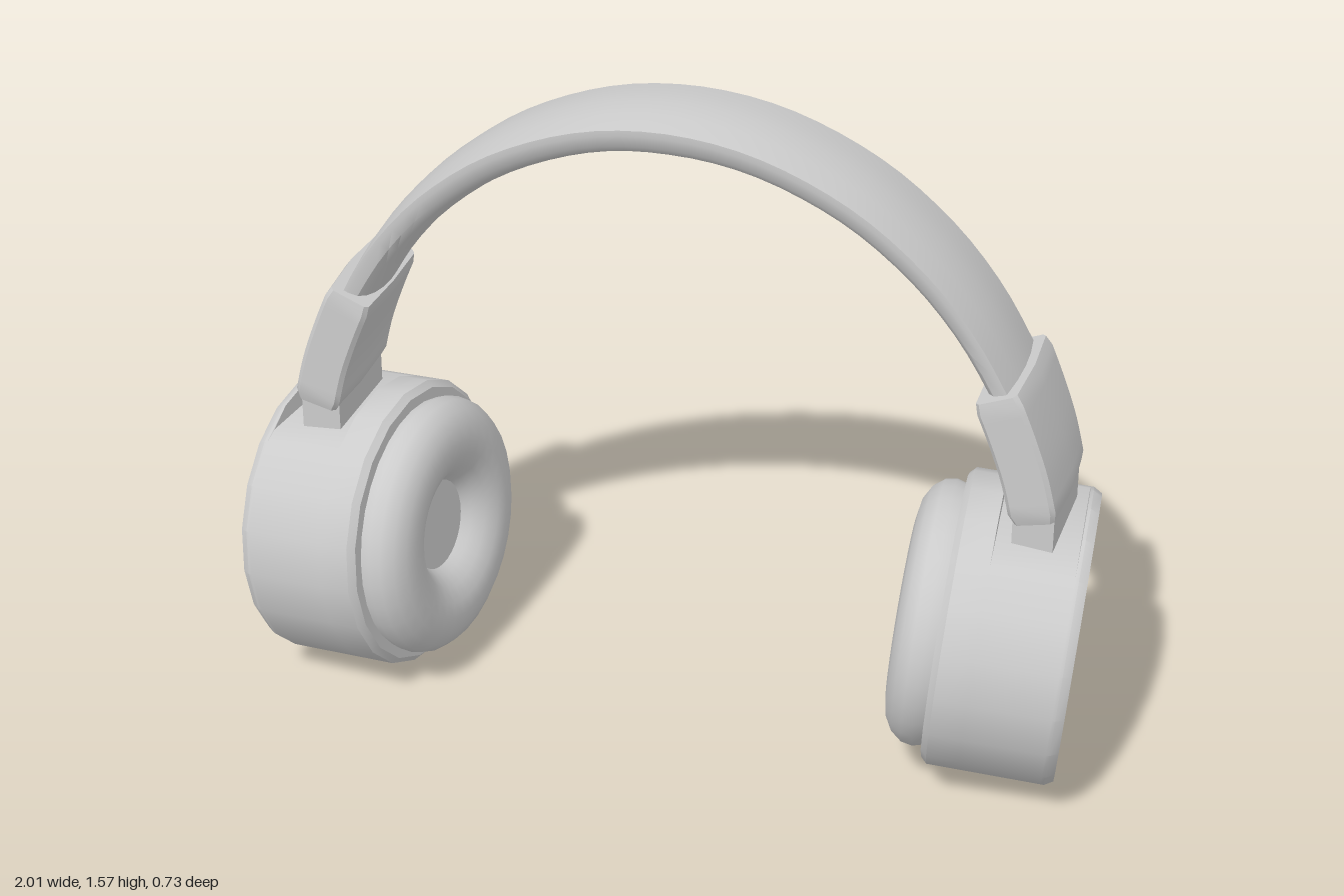
import * as THREE from 'three';
import { toCreasedNormals } from 'three/addons/utils/BufferGeometryUtils.js';

const material = new THREE.MeshStandardMaterial({ color: 0xcccccc });
const V2 = (p) => new THREE.Vector2(p[0], p[1]);

function part(name, geometry, crease = 0.6) {
  const mesh = new THREE.Mesh(toCreasedNormals(geometry, crease), material);
  mesh.name = name;
  return mesh;
}

// Sweeps a closed [normal, z] section along a curve in the xy plane, with caps.
function sweep(points, section, steps, scaleAt) {
  const curve = new THREE.SplineCurve(points.map(V2));
  const pos = [], index = [], m = section.length;
  for (let i = 0; i <= steps; i++) {
    const t = i / steps, c = curve.getPointAt(t), d = curve.getTangentAt(t);
    const [sn, sz] = scaleAt(t, i);
    for (const [n, z] of section) pos.push(c.x - d.y * n * sn, c.y + d.x * n * sn, z * sz);
  }
  for (let i = 0; i < steps; i++) {
    for (let j = 0; j < m; j++) {
      const a = i * m + j, d = i * m + (j + 1) % m;
      index.push(a, d, a + m, d, d + m, a + m);
    }
  }
  const e = steps * m;
  for (let j = 1; j < m - 1; j++) index.push(0, j + 1, j, e, e + j, e + j + 1);
  const g = new THREE.BufferGeometry();
  g.setAttribute('position', new THREE.Float32BufferAttribute(pos, 3));
  g.setIndex(index);
  return g;
}

// Lathe turned so its axis runs along x, outer end towards +x.
function turned(profile, sides) {
  return new THREE.LatheGeometry(profile.map(V2), sides).rotateZ(-Math.PI / 2);
}

function makeHousing() {
  const slotIn = -0.22, slotOut = -0.028, floor = 0.3;
  const profile = [
    [0, -0.31], [0.335, -0.31], [0.35, -0.295], [0.35, slotIn], [0.35, slotIn + 0.001],
    [0.35, slotOut - 0.001], [0.35, slotOut], [0.35, -0.02], [0.338, 0], [0, 0],
  ];
  const g = turned(profile, 20), p = g.attributes.position;
  // flat-bottomed slot on top for the stem
  for (let i = 0; i < p.count; i++) {
    const x = p.getX(i);
    if (x > slotIn + 0.0005 && x < slotOut - 0.0005 && p.getY(i) > floor) {
      p.setY(i, floor);
      p.setZ(i, p.getZ(i) * 1.57);
    }
  }
  return part('housing', g);
}

function makeCup(side) {
  const cup = new THREE.Group();
  cup.name = side > 0 ? 'leftCup' : 'rightCup';
  const cushion = [
    [0, -0.345], [0.11, -0.345], [0.125, -0.365], [0.15, -0.39], [0.185, -0.407], [0.22, -0.412],
    [0.26, -0.405], [0.29, -0.388], [0.31, -0.362], [0.315, -0.335], [0.305, -0.3],
  ];
  cup.add(makeHousing(), part('earCushion', turned(cushion, 32), 0.7));
  cup.position.set(side * 0.955, 0.36, -0.02);
  cup.rotation.set(0, side > 0 ? 0.127 : Math.PI - 0.127, -0.085);
  return cup;
}

// Sleeve and stem joining the headband to a cup
function makeArm(side) {
  const arm = new THREE.Group();
  arm.name = side > 0 ? 'leftArm' : 'rightArm';
  const section = [
    [0.045, -0.155], [0.055, -0.145], [0.064, 0], [0.055, 0.145], [0.045, 0.155],
    [-0.045, 0.155], [-0.055, 0.145], [-0.06, 0], [-0.055, -0.145], [-0.045, -0.155],
  ];
  const path = [[0.766, 1.045], [0.805, 0.95], [0.84, 0.85], [0.866, 0.742]];
  const steps = 12;
  const sleeve = sweep(path, section, steps, (t, i) =>
    i === 0 ? [0.9, 0.97] : i === steps ? [0.85, 0.95] : [1, 1]);
  const stem = new THREE.BoxGeometry(0.095, 0.14, 0.26).translate(0.862, 0.7, 0);
  arm.add(part('sleeve', sleeve, 0.5), part('stem', stem));
  arm.rotation.y = side > 0 ? 0 : Math.PI;
  arm.position.z = -0.01;
  return arm;
}

function makeHeadband() {
  const half = [[0.2, 1.51], [0.4, 1.428], [0.56, 1.31], [0.68, 1.175], [0.768, 1.03], [0.805, 0.95]];
  const path = [...half.map(([x, y]) => [-x, y]).reverse(), [0, 1.535], ...half];
  // gently crowned top, rounded underside
  const section = [[0.034, -0.13], [0.046, -0.065], [0.05, 0], [0.046, 0.065], [0.034, 0.13]];
  for (let k = 0; k <= 10; k++) {
    const a = (k / 10) * Math.PI;
    section.push([0.02 - 0.072 * Math.sin(a) ** 0.8, 0.13 * Math.cos(a)]);
  }
  const band = part('headband', sweep(path, section, 40, (t) =>
    [1 - 0.22 * Math.abs(2 * t - 1), 1]), 0.6);
  band.position.z = -0.01;
  return band;
}

export function createModel() {
  const model = new THREE.Group();
  model.name = 'headphones';
  model.add(makeHeadband());
  for (const side of [1, -1]) model.add(makeArm(side), makeCup(side));
  return model;
}
